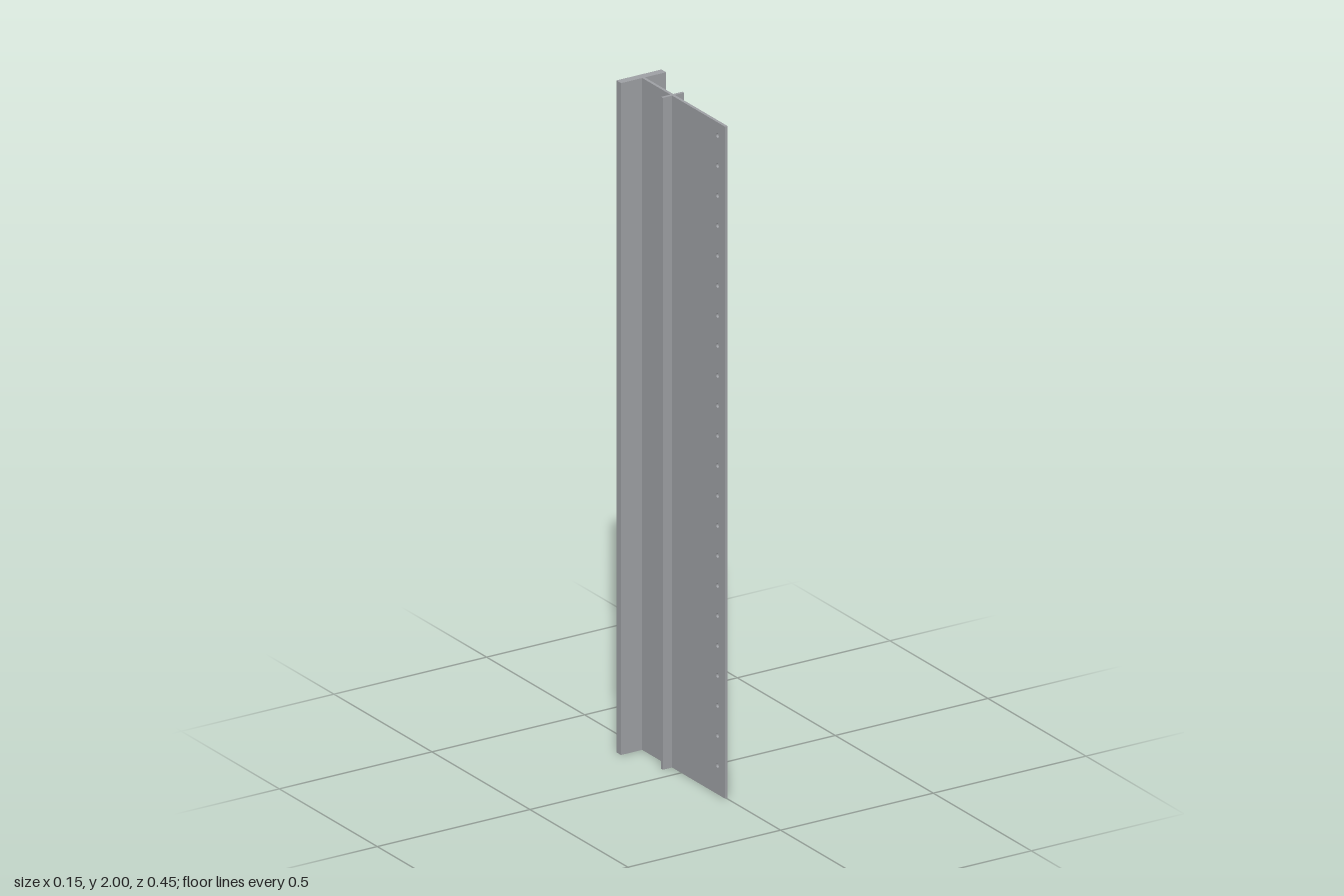
import * as THREE from 'three';

const HEIGHT = 2;
const WEB = 0.009; // web thickness

export function createModel() {
  const group = new THREE.Group();
  const steel = new THREE.MeshStandardMaterial({ color: 0x9fa1a5 });
  steel.name = 'steel grey';

  const add = (name, geometry) => {
    const mesh = new THREE.Mesh(geometry, steel);
    mesh.name = name;
    group.add(mesh);
    return mesh;
  };

  // Wide flange along the back
  add('backFlange', new THREE.BoxGeometry(0.148, HEIGHT, 0.024))
    .position.set(0, HEIGHT / 2, -0.211);

  // Thin web, drilled with a row of bolt holes near its free edge
  const back = -0.199, front = 0.223;
  const outline = new THREE.Shape([
    new THREE.Vector2(back, 0), new THREE.Vector2(front, 0),
    new THREE.Vector2(front, HEIGHT), new THREE.Vector2(back, HEIGHT),
  ]);
  const holeCount = 22;
  for (let i = 0; i < holeCount; i++) {
    const hole = new THREE.Path();
    hole.absarc(0.185, 0.085 + i * 0.0893, 0.0065, 0, Math.PI * 2, true);
    outline.holes.push(hole);
  }
  const web = new THREE.ExtrudeGeometry(outline, { depth: WEB, bevelEnabled: false, curveSegments: 8 });
  web.rotateY(-Math.PI / 2);
  web.translate(WEB / 2, 0, 0);
  add('web', web);

  // Narrow stiffening ribs on both faces of the web
  const ribWidth = 0.035 - WEB / 2;
  for (const [name, side] of [['leftRib', 1], ['rightRib', -1]]) {
    add(name, new THREE.BoxGeometry(ribWidth, HEIGHT, 0.009))
      .position.set(side * (WEB / 2 + ribWidth / 2), HEIGHT / 2, -0.051);
  }

  return group;
}
